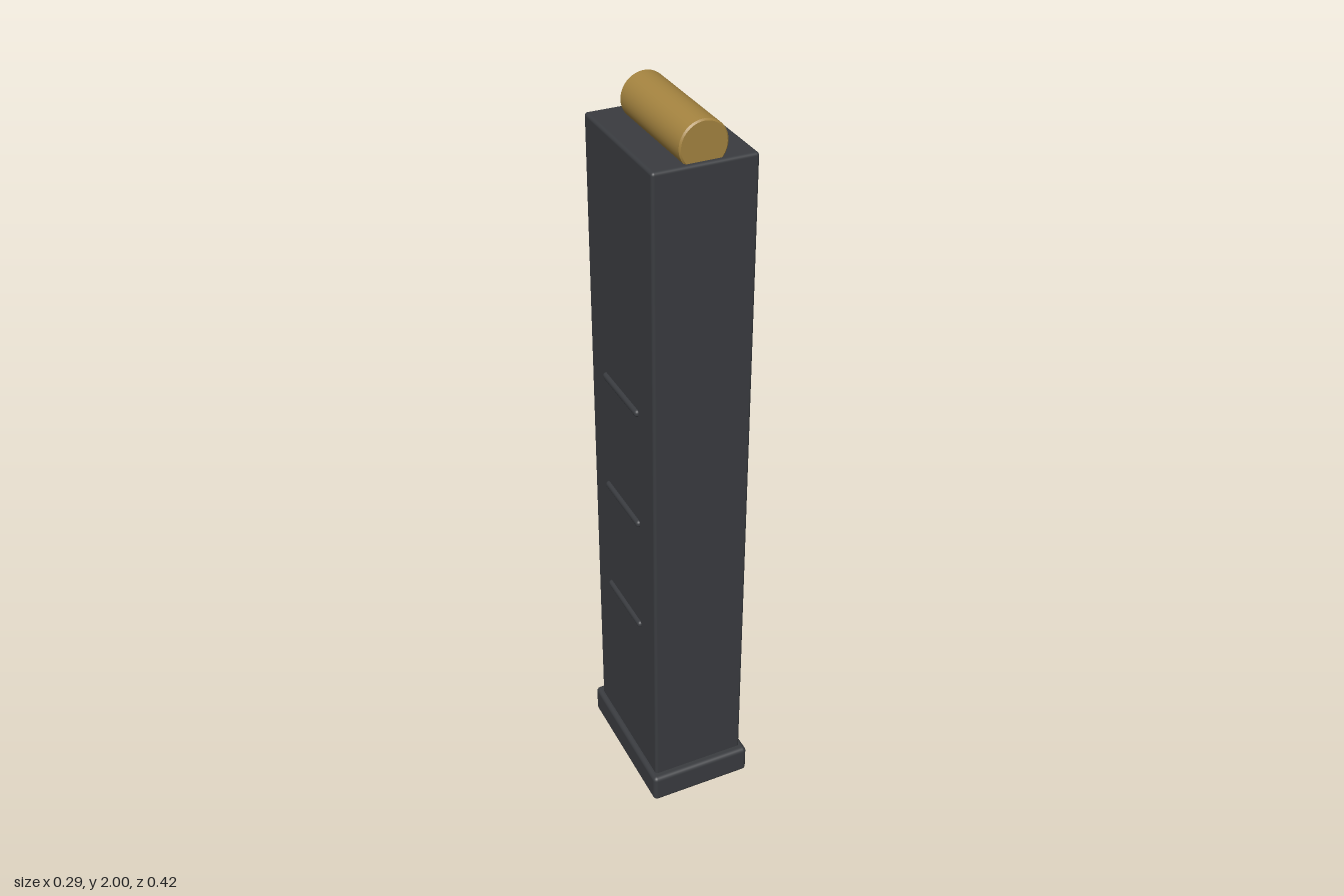
import * as THREE from 'three';
import { RoundedBoxGeometry } from 'three/addons/geometries/RoundedBoxGeometry.js';

const dark = new THREE.MeshStandardMaterial({ color: 0x3a3c40 });
const brass = new THREE.MeshStandardMaterial({ color: 0xa58440 });

export function createModel() {
  const model = new THREE.Group();
  const add = (name, geometry, material, x, y, z) => {
    const mesh = new THREE.Mesh(geometry, material);
    mesh.name = name;
    mesh.position.set(x, y, z);
    model.add(mesh);
    return mesh;
  };
  const box = (w, y0, y1, d, r) => new RoundedBoxGeometry(w, y1 - y0, d, 3, r);

  // Tall body standing in a wider base plate
  add('body', box(0.262, 0.04, 1.904, 0.374, 0.008), dark, 0, 0.972, 0);
  add('basePlate', box(0.29, 0, 0.084, 0.418, 0.012), dark, 0, 0.042, 0);

  // Three raised ribs on each side
  const ribGeometry = new RoundedBoxGeometry(0.022, 0.02, 0.204, 3, 0.009);
  for (const side of [-1, 1]) {
    for (const y of [0.567, 0.904, 1.24]) {
      add(side > 0 ? 'leftRib' : 'rightRib', ribGeometry, dark, side * 0.129, y, 0);
    }
  }

  // Top round lying along z, sunk a little into the body
  const r = 0.06, half = 0.158, bevel = 0.004;
  const profile = [
    [0, -half], [r - bevel, -half], [r - bevel, -half], [r, -half + bevel], [r, -half + bevel],
    [r, half - bevel], [r, half - bevel], [r - bevel, half], [r - bevel, half], [0, half],
  ].map(([x, y]) => new THREE.Vector2(x, y));
  const round = add('topRound', new THREE.LatheGeometry(profile, 40), brass, 0, 1.94, 0.017);
  round.rotation.x = Math.PI / 2;

  return model;
}
